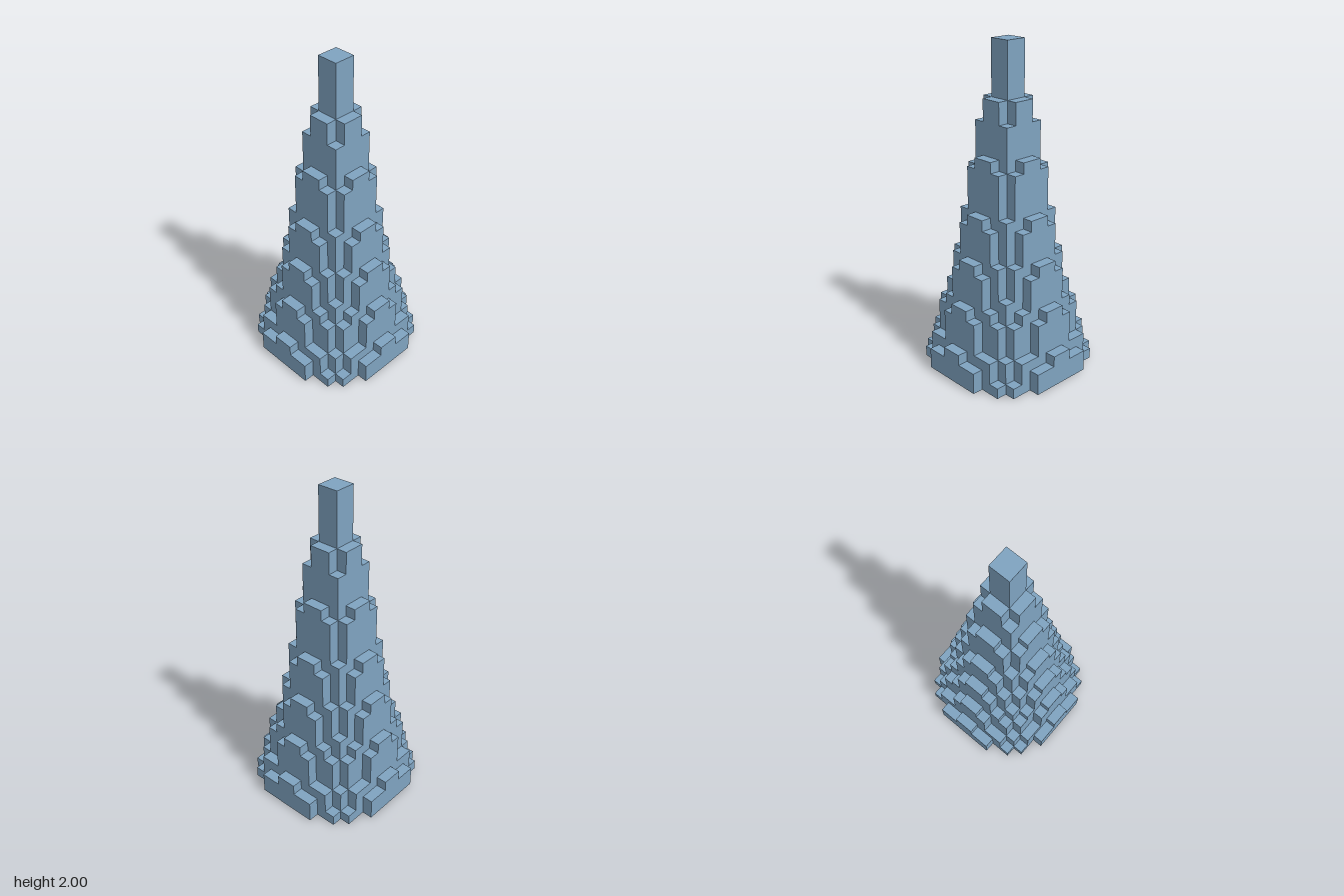
import * as THREE from 'three';

const U = 1 / 15; // edge of one block
// Column heights in blocks for one quadrant, from the centre outwards
const HEIGHTS = [
  [30, 25, 20, 15, 11, 7, 3],
  [25, 23, 19, 14, 10, 6, 2],
  [20, 19, 15, 11, 7, 3, 2],
  [15, 14, 11, 8, 6, 3, 0],
  [11, 10, 7, 6, 3, 1, 0],
  [7, 6, 3, 3, 1, 0, 0],
  [3, 2, 2, 0, 0, 0, 0],
];

// Mirror the quadrant onto cells -7..6 in x and z
const fold = (n) => (n < 0 ? -n - 1 : n);
const heightAt = (x, z) => HEIGHTS[fold(x)]?.[fold(z)] ?? 0;

function spireGeometry() {
  const pos = [];
  const quad = (a, b, c, d) => {
    for (const p of [a, b, c, a, c, d]) pos.push(p[0] * U, p[1] * U, p[2] * U);
  };
  for (let x = -7; x < 7; x++) {
    for (let z = -7; z < 7; z++) {
      const h = heightAt(x, z);
      if (!h) continue;
      const X = x + 1, Z = z + 1;
      // Top and underside of the column
      quad([x, h, Z], [X, h, Z], [X, h, z], [x, h, z]);
      quad([x, 0, z], [X, 0, z], [X, 0, Z], [x, 0, Z]);
      // Exposed walls above each lower neighbour
      const wall = (n, x0, z0, x1, z1) => {
        if (n < h) quad([x0, n, z0], [x1, n, z1], [x1, h, z1], [x0, h, z0]);
      };
      wall(heightAt(x, z + 1), x, Z, X, Z);
      wall(heightAt(x, z - 1), X, z, x, z);
      wall(heightAt(x + 1, z), X, Z, X, z);
      wall(heightAt(x - 1, z), x, z, x, Z);
    }
  }
  const geo = new THREE.BufferGeometry();
  geo.setAttribute('position', new THREE.Float32BufferAttribute(pos, 3));
  geo.computeVertexNormals();
  return geo;
}

export function createModel() {
  const group = new THREE.Group();
  group.name = 'blockSpire';
  const blue = new THREE.MeshStandardMaterial({ color: 0x7fa3c0 });
  blue.name = 'dusty blue';
  const spire = new THREE.Mesh(spireGeometry(), blue);
  spire.name = 'steppedSpire';
  group.add(spire);
  return group;
}
